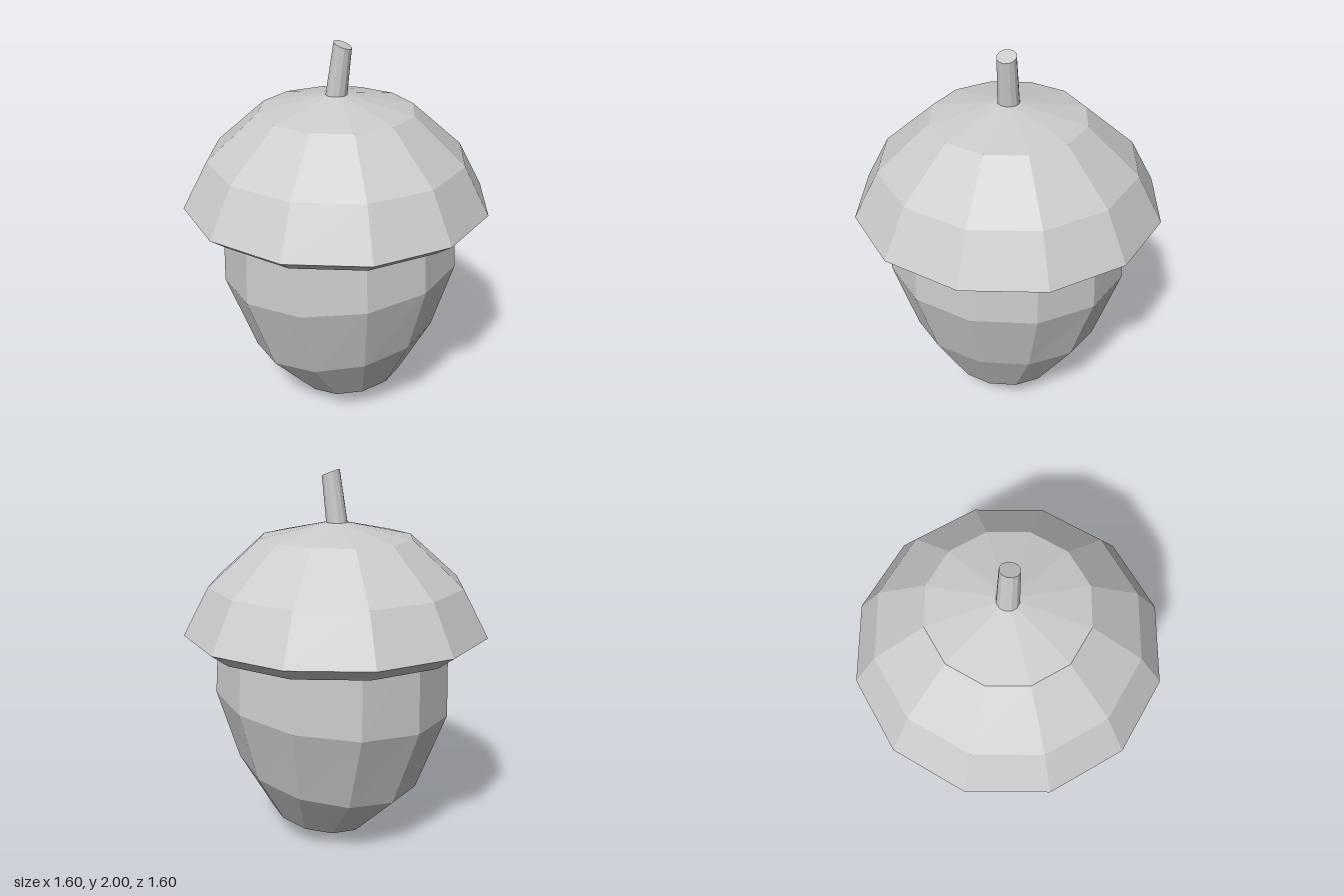
import * as THREE from 'three';

const SIDES = 12;

// Skins a stack of rings, each [centreX, centreY, radius, tilt]; radius 0 makes a point.
function loft(name, rings) {
  const positions = [];
  const index = [];
  for (const [cx, cy, r, tilt = 0] of rings) {
    for (let i = 0; i < SIDES; i++) {
      const a = (i / SIDES) * Math.PI * 2;
      const u = r * Math.cos(a);
      positions.push(cx + u * Math.cos(tilt), cy + u * Math.sin(tilt), r * Math.sin(a));
    }
  }
  for (let k = 0; k < rings.length - 1; k++) {
    for (let i = 0; i < SIDES; i++) {
      const j = (i + 1) % SIDES;
      const a = k * SIDES + i, c = k * SIDES + j;
      const b = a + SIDES, d = c + SIDES;
      if (rings[k][2] > 0) index.push(a, b, c);
      if (rings[k + 1][2] > 0) index.push(b, d, c);
    }
  }
  const geometry = new THREE.BufferGeometry();
  geometry.setAttribute('position', new THREE.Float32BufferAttribute(positions, 3));
  geometry.setIndex(index);
  geometry.computeVertexNormals();
  const material = new THREE.MeshStandardMaterial({ color: 0xcccccc, flatShading: true });
  const mesh = new THREE.Mesh(geometry, material);
  mesh.name = name;
  return mesh;
}

export function createModel() {
  const acorn = new THREE.Group();
  acorn.name = 'acorn';

  // Nut: bends sideways towards its tip, top hidden in the cap
  acorn.add(loft('nut', [
    [0.11, 0, 0],
    [0.09, 0.11, 0.285, 0.177],
    [0.045, 0.4, 0.503, 0.18],
    [0.02, 0.805, 0.633, 0.103],
    [0.012, 1.3, 0.607],
    [0.012, 1.34, 0],
  ]));

  // Cap: hollow shell, from the inside down to the rim and up over the outside
  acorn.add(loft('cap', [
    [0, 1.62, 0],
    [0, 1.58, 0.35],
    [0, 1.4, 0.58],
    [0, 1.18, 0.7],
    [0, 1.11, 0.705],
    [0, 1.18, 0.8],
    [0, 1.425, 0.667],
    [0, 1.66, 0.4],
    [0, 1.745, 0],
  ]));

  // Stem: leaning, with a slanted cut at the top
  acorn.add(loft('stem', [
    [-0.006, 1.7, 0],
    [-0.006, 1.7, 0.057],
    [0.03, 1.982, 0.049, -0.36],
    [0.03, 1.982, 0],
  ]));

  return acorn;
}
